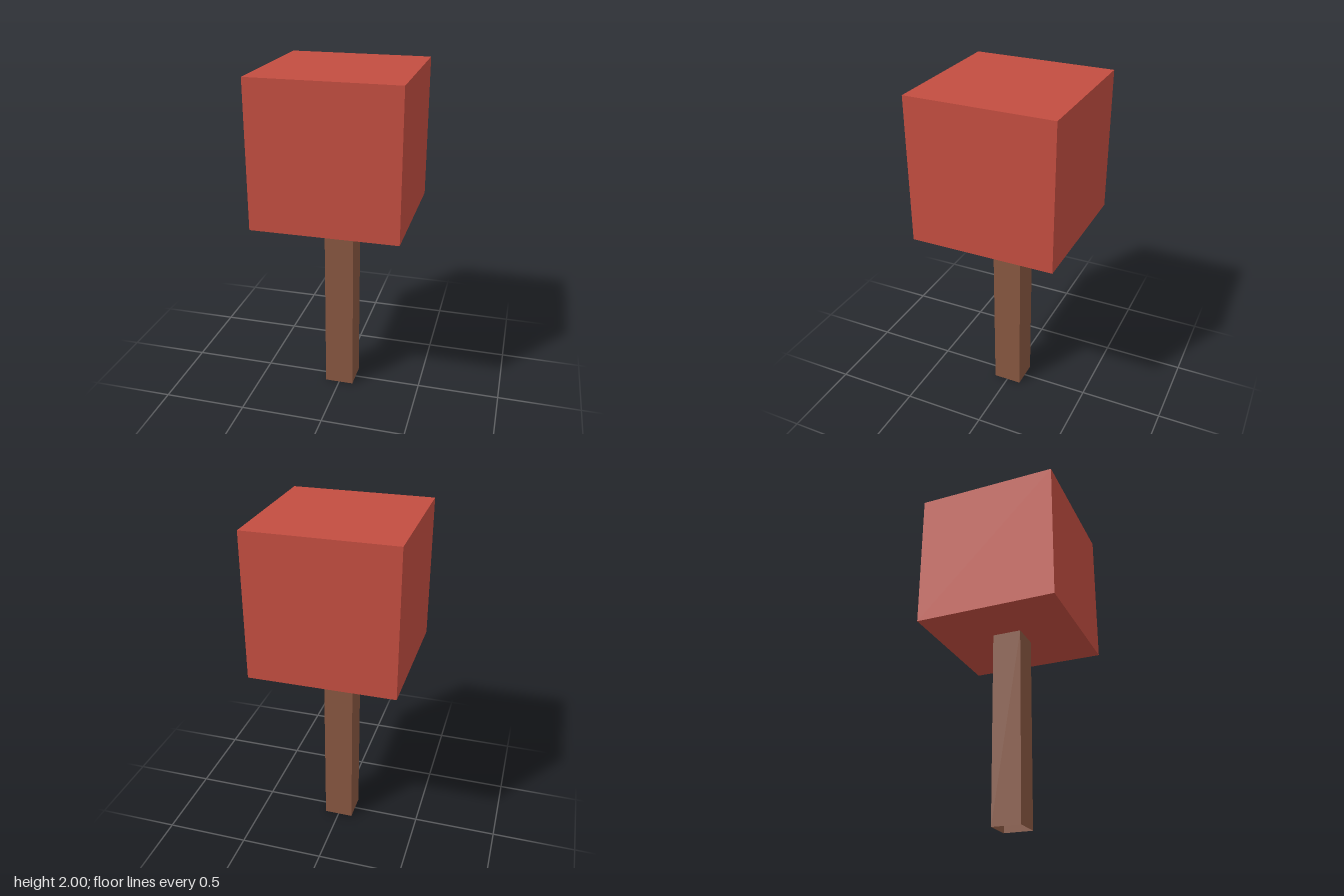
import * as THREE from 'three';

export function createModel() {
  const foliageRed = new THREE.MeshStandardMaterial({ color: 0xc24d40 });
  foliageRed.name = 'foliage red';
  const barkBrown = new THREE.MeshStandardMaterial({ color: 0x875640, side: THREE.DoubleSide });
  barkBrown.name = 'bark brown';

  const size = 0.846;        // edge of the cubic crown
  const trunkWidth = 0.175;
  const trunkHeight = 2 - size;

  const model = new THREE.Group();
  model.name = 'tree';

  // Cubic crown
  const crown = new THREE.Mesh(new THREE.BoxGeometry(size, size, size), foliageRed);
  crown.name = 'crown';
  crown.position.y = 2 - size / 2;

  // Square trunk, a hollow four-sided tube open at the bottom
  const radius = trunkWidth / Math.SQRT2;
  const tube = new THREE.CylinderGeometry(radius, radius, trunkHeight, 4, 1, true, Math.PI / 4).toNonIndexed();
  tube.computeVertexNormals();
  const trunk = new THREE.Mesh(tube, barkBrown);
  trunk.name = 'trunk';
  trunk.position.y = trunkHeight / 2;

  model.add(crown, trunk);
  return model;
}
